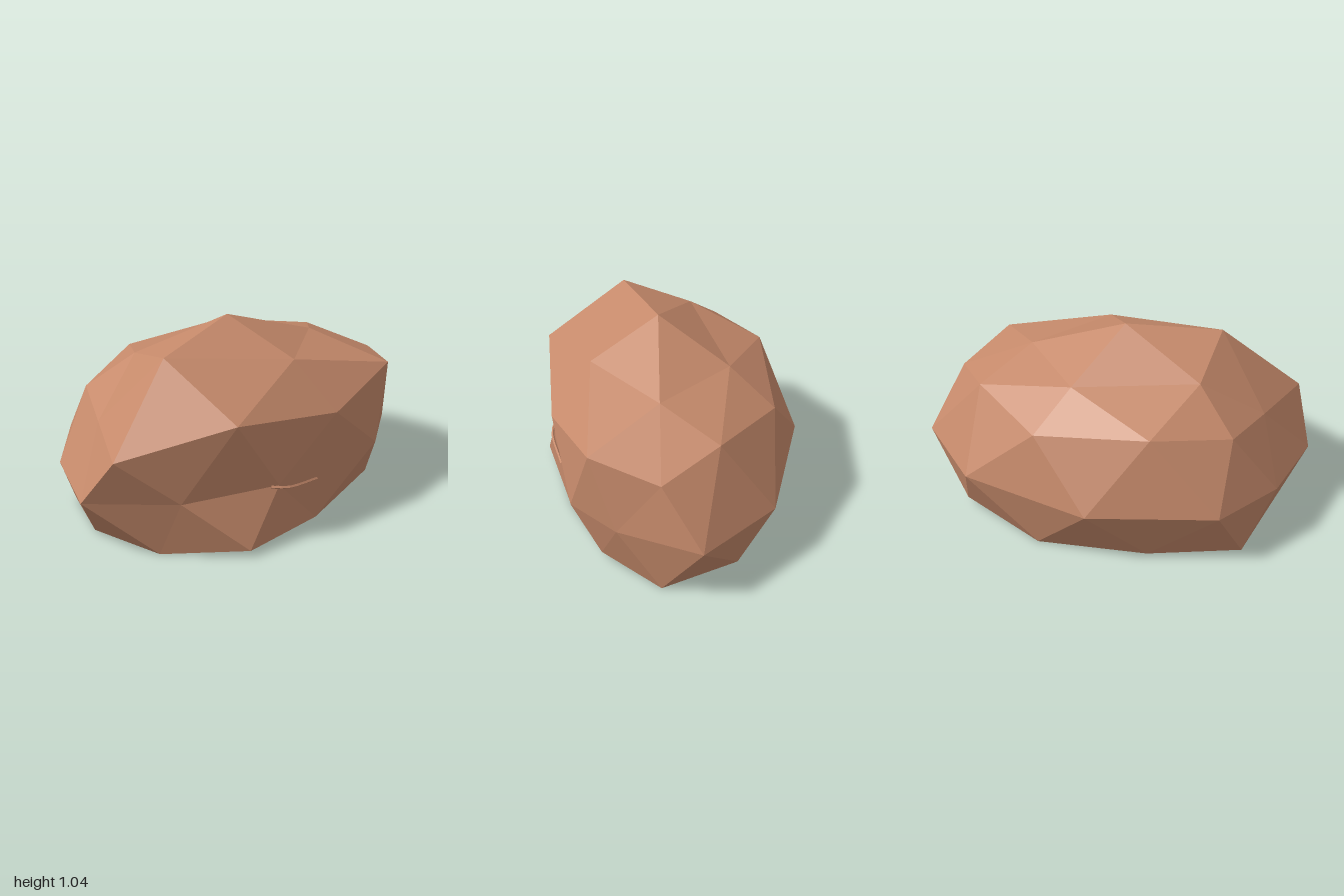
import * as THREE from 'three';

// Cross-section rings, top to bottom, each running from +x round towards +z
const apex = [-0.04, 1.04, 0.06];
const crown = [[0.47, 0.845, 0.06], [0.14, 0.88, 0.405], [-0.51, 0.98, 0.24], [-0.48, 0.86, -0.12], [0.14, 0.84, -0.3]];
const shoulder = [
  [0.87, 0.645, 0.06], [0.735, 0.72, 0.41], [0.27, 0.635, 0.605], [-0.34, 0.74, 0.645], [-0.9, 0.605, 0.435],
  [-0.785, 0.63, 0.055], [-0.69, 0.665, -0.27], [-0.32, 0.725, -0.49], [0.27, 0.67, -0.525], [0.66, 0.725, -0.23],
];
const waist = [
  [0.82, 0.28], [0.6, 0.51], [-0.08, 0.62], [-0.59, 0.53], [-1, 0.265],
  [-0.91, -0.16], [-0.685, -0.5], [-0.04, -0.675], [0.655, -0.51], [1, -0.14],
].map(([x, z]) => [x, 0.33, z]);
const foot = [
  [0.865, 0, 0.06], [0.66, 0.065, 0.36], [0.21, 0.005, 0.535], [-0.28, 0.04, 0.675], [-0.65, 0, 0.41],
  [-0.835, 0.015, 0.06], [-0.77, 0, -0.29], [-0.31, 0.01, -0.47], [0.265, 0, -0.52], [0.73, 0.05, -0.325],
];
const base = [-0.04, 0, 0.06];

function boulderGeometry() {
  const positions = [];
  const tri = (a, b, c) => positions.push(...a, ...b, ...c);

  // Faceted cap: five crown points spread out to ten shoulder points
  for (let i = 0; i < 5; i++) {
    const c = crown[i], next = crown[(i + 1) % 5];
    const before = shoulder[(2 * i + 9) % 10], mid = shoulder[2 * i], after = shoulder[2 * i + 1];
    tri(apex, next, c);
    tri(c, mid, before);
    tri(c, after, mid);
    tri(c, next, after);
  }

  // Sides and underside
  const sole = foot.map(([x, , z]) => [
    base[0] + (x - base[0]) * 0.6, 0, base[2] + (z - base[2]) * 0.6,
  ]);
  for (let k = 0; k < 10; k++) {
    const n = (k + 1) % 10;
    tri(shoulder[k], shoulder[n], waist[k]);
    tri(shoulder[n], waist[n], waist[k]);
    tri(waist[k], foot[n], foot[k]);
    tri(waist[k], waist[n], foot[n]);
    tri(foot[k], foot[n], sole[k]);
    tri(foot[n], sole[n], sole[k]);
    tri(sole[k], sole[n], base);
  }

  const geometry = new THREE.BufferGeometry();
  geometry.setAttribute('position', new THREE.Float32BufferAttribute(positions, 3));
  geometry.computeVertexNormals();
  return geometry;
}

export function createModel() {
  const group = new THREE.Group();
  group.name = 'boulder';

  const clay = new THREE.MeshStandardMaterial({ color: 0xc68a6b, flatShading: true });
  clay.name = 'clay brown';

  const rock = new THREE.Mesh(boulderGeometry(), clay);
  rock.name = 'rock';
  group.add(rock);

  // Thin sliver lying across the front, its ends buried in the rock
  const path = new THREE.CatmullRomCurve3([
    new THREE.Vector3(-0.125, 0.33, 0.615),
    new THREE.Vector3(-0.04, 0.31, 0.632),
    new THREE.Vector3(0.18, 0.267, 0.575),
  ]);
  const sliver = new THREE.Mesh(new THREE.TubeGeometry(path, 6, 0.008, 4), clay);
  sliver.name = 'frontSliver';
  group.add(sliver);

  return group;
}
